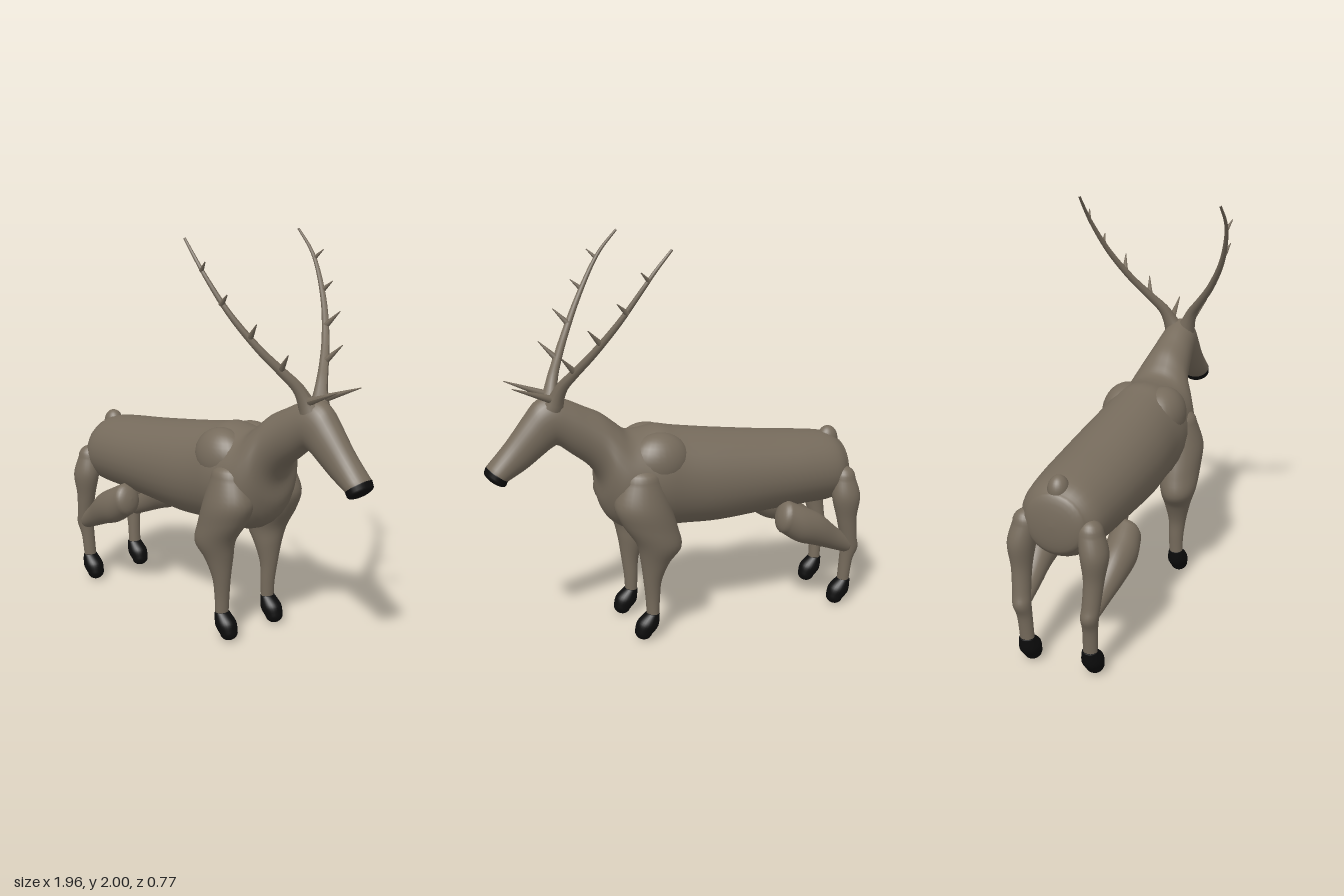
import * as THREE from 'three';

const hide = new THREE.MeshStandardMaterial({ color: 0x766b5c });
hide.name = 'brown hide';
const black = new THREE.MeshStandardMaterial({ color: 0x0c0c0c });
black.name = 'black hoof';

// Smooth loft through oval rings: [x1, y1, x2, y2, z, halfWidth], where the two
// points are opposite edges in the side plane. Both ends close with a dome.
function loft(sections, startDome, endDome, side = 1, steps = 5, around = 28) {
  const cr = (a, b, c, d, t) => 0.5 * (2 * b + (c - a) * t
    + (2 * a - 5 * b + 4 * c - d) * t * t + (3 * b - a - 3 * c + d) * t * t * t);
  const n = sections.length, rings = [];
  const at = (i) => sections[Math.max(0, Math.min(n - 1, i))];
  const ring = (s, scale = 1, shift = 0) => {
    const ux = (s[0] - s[2]) / 2, uy = (s[1] - s[3]) / 2, len = Math.hypot(ux, uy);
    rings.push({
      x: (s[0] + s[2]) / 2 + uy / len * shift, y: (s[1] + s[3]) / 2 - ux / len * shift,
      z: s[4] * side, ux: ux * scale, uy: uy * scale, w: s[5] * scale,
    });
  };
  const D = 6;
  for (let i = 0; i < D; i++) {
    const a = (1 - i / D) * Math.PI / 2;
    ring(sections[0], Math.max(Math.cos(a), 0.001), -startDome * Math.sin(a));
  }
  for (let i = 0; i < n - 1; i++) for (let k = 0; k < steps; k++) {
    ring(at(i).map((v, j) => cr(at(i - 1)[j], v, at(i + 1)[j], at(i + 2)[j], k / steps)));
  }
  for (let i = 0; i <= D; i++) {
    const a = i / D * Math.PI / 2;
    ring(sections[n - 1], Math.max(Math.cos(a), 0.001), endDome * Math.sin(a));
  }
  const pos = [], index = [];
  rings.forEach((r, i) => {
    for (let j = 0; j < around; j++) {
      const a = j / around * Math.PI * 2, c = Math.cos(a), s = Math.sin(a);
      pos.push(r.x + r.ux * c, r.y + r.uy * c, r.z + r.w * s);
      if (i === rings.length - 1) continue;
      const p = i * around + j, q = i * around + (j + 1) % around;
      index.push(p, q, p + around, q, q + around, p + around);
    }
  });
  const g = new THREE.BufferGeometry();
  g.setAttribute('position', new THREE.Float32BufferAttribute(pos, 3));
  g.setIndex(index);
  g.computeVertexNormals();
  return g;
}

// Tapered tube along a curve, with an optional flare at the root
function taper(points, r0, r1, flare = 0, segments = 40) {
  const curve = new THREE.CatmullRomCurve3(points.map((p) => new THREE.Vector3(...p)));
  const sides = 10, g = new THREE.TubeGeometry(curve, segments, 1, sides);
  const p = g.attributes.position, v = new THREE.Vector3();
  for (let i = 0; i < p.count; i++) {
    const t = Math.floor(i / (sides + 1)) / segments, c = curve.getPointAt(t);
    const r = r0 + (r1 - r0) * t + flare * Math.exp(-t * 14);
    v.fromBufferAttribute(p, i).sub(c).multiplyScalar(r).add(c);
    p.setXYZ(i, v.x, v.y, v.z);
  }
  g.computeVertexNormals();
  return g;
}

function add(parent, name, geometry, material) {
  const m = new THREE.Mesh(geometry, material);
  m.name = name;
  parent.add(m);
  return m;
}

function ball(parent, name, center, radii) {
  const m = add(parent, name, new THREE.SphereGeometry(1, 28, 18), hide);
  m.position.set(...center);
  m.scale.set(...radii);
}

const BODY = [
  [-0.92, 0.89, -0.92, 0.60, 0, 0.15], [-0.85, 0.93, -0.86, 0.565, 0, 0.195],
  [-0.70, 0.955, -0.70, 0.56, 0, 0.215], [-0.50, 0.98, -0.50, 0.555, 0, 0.225],
  [-0.20, 1.025, -0.20, 0.54, 0, 0.23], [0.00, 1.06, 0.02, 0.55, 0, 0.222],
  [0.10, 1.08, 0.16, 0.55, 0, 0.225], [0.20, 1.07, 0.29, 0.57, 0, 0.22],
  [0.27, 1.075, 0.37, 0.63, 0, 0.205], [0.33, 1.12, 0.41, 0.72, 0, 0.175],
  [0.40, 1.175, 0.415, 0.83, 0, 0.138], [0.48, 1.215, 0.46, 0.91, 0, 0.117],
  [0.57, 1.26, 0.55, 0.985, 0, 0.10], [0.65, 1.285, 0.615, 1.035, 0, 0.09],
  [0.72, 1.26, 0.645, 1.03, 0, 0.085], [0.78, 1.19, 0.69, 1.0, 0, 0.08],
  [0.87, 1.075, 0.775, 0.94, 0, 0.071], [0.968, 0.965, 0.872, 0.89, 0, 0.072],
];
const NOSE = [[0.968, 0.966, 0.871, 0.89, 0, 0.073], [0.978, 0.942, 0.881, 0.869, 0, 0.071]];
const FRONT_LEG = [
  [0.34, 0.86, 0.14, 0.86, 0.15, 0.09], [0.385, 0.74, 0.10, 0.72, 0.16, 0.115],
  [0.35, 0.64, 0.065, 0.60, 0.17, 0.106], [0.28, 0.53, 0.048, 0.50, 0.18, 0.09],
  [0.255, 0.43, 0.105, 0.42, 0.17, 0.068], [0.24, 0.32, 0.147, 0.32, 0.165, 0.046],
  [0.228, 0.22, 0.155, 0.22, 0.16, 0.038], [0.222, 0.13, 0.16, 0.13, 0.16, 0.035],
];
const HIND_SHANK = [
  [-0.83, 0.72, -0.95, 0.72, 0.16, 0.06], [-0.82, 0.62, -0.973, 0.62, 0.18, 0.065],
  [-0.85, 0.50, -0.96, 0.50, 0.18, 0.048], [-0.875, 0.40, -0.97, 0.38, 0.175, 0.043],
  [-0.885, 0.33, -0.982, 0.32, 0.17, 0.042], [-0.885, 0.25, -0.955, 0.25, 0.165, 0.036],
  [-0.88, 0.13, -0.94, 0.12, 0.16, 0.034],
];
const THIGH = [
  [-0.52, 0.47, -0.56, 0.64, 0.18, 0.075], [-0.60, 0.415, -0.64, 0.60, 0.19, 0.08],
  [-0.70, 0.38, -0.74, 0.545, 0.19, 0.07], [-0.80, 0.34, -0.84, 0.455, 0.18, 0.055],
  [-0.90, 0.30, -0.92, 0.39, 0.172, 0.042],
];
const HOOF = [
  [0.226, 0.14, 0.157, 0.135, 0.16, 0.038], [0.272, 0.10, 0.165, 0.07, 0.16, 0.051],
  [0.285, 0.055, 0.20, 0.03, 0.16, 0.045],
];
const ANTLER = [
  [0.64, 1.24, 0.035], [0.61, 1.34, 0.08], [0.57, 1.41, 0.135], [0.50, 1.52, 0.22],
  [0.40, 1.68, 0.31], [0.30, 1.84, 0.362], [0.25, 1.91, 0.372], [0.17, 2.0, 0.37],
];
const TINES = [
  [[0.63, 1.27, 0.05], [0.85, 1.357, 0.08], 0.022],
  [[0.56, 1.42, 0.145], [0.645, 1.51, 0.18], 0.018],
  [[0.47, 1.57, 0.25], [0.54, 1.645, 0.275], 0.016],
  [[0.37, 1.72, 0.33], [0.425, 1.77, 0.345], 0.014],
  [[0.28, 1.865, 0.368], [0.325, 1.91, 0.385], 0.011],
];

export function createModel() {
  const model = new THREE.Group();
  model.name = 'stag';

  // Trunk, neck and head in one skin, with nose and tail
  add(model, 'body', loft(BODY, 0.035, 0.005), hide);
  add(model, 'nose', loft(NOSE, 0.003, 0.022), black);
  ball(model, 'tail', [-0.873, 0.89, 0], [0.055, 0.07, 0.05]);

  // Paired parts
  for (const side of [1, -1]) {
    ball(model, 'shoulderBlade', [0.13, 0.92, 0.1 * side], [0.16, 0.145, 0.118]);

    const frontLeg = new THREE.Group();
    frontLeg.name = 'frontLeg';
    add(frontLeg, 'foreLimb', loft(FRONT_LEG, 0.06, 0.01, side), hide);
    add(frontLeg, 'frontHoof', loft(HOOF, 0.005, 0.04, side), black);

    const hindLeg = new THREE.Group();
    hindLeg.name = 'hindLeg';
    add(hindLeg, 'thigh', loft(THIGH, 0.045, 0.03, side), hide);
    add(hindLeg, 'shank', loft(HIND_SHANK, 0.06, 0.01, side), hide);
    add(hindLeg, 'hindHoof', loft(HOOF, 0.005, 0.04, side), black).position.x = -1.105;

    const antler = new THREE.Group();
    antler.name = 'antler';
    const flip = ([x, y, z]) => [x, y, z * side];
    add(antler, 'beam', taper(ANTLER.map(flip), 0.026, 0.006, 0.025), hide);
    for (const [root, tip, r] of TINES) {
      add(antler, 'tine', taper([flip(root), flip(tip)], r, 0.002, 0, 8), hide);
    }
    model.add(frontLeg, hindLeg, antler);
  }
  return model;
}
